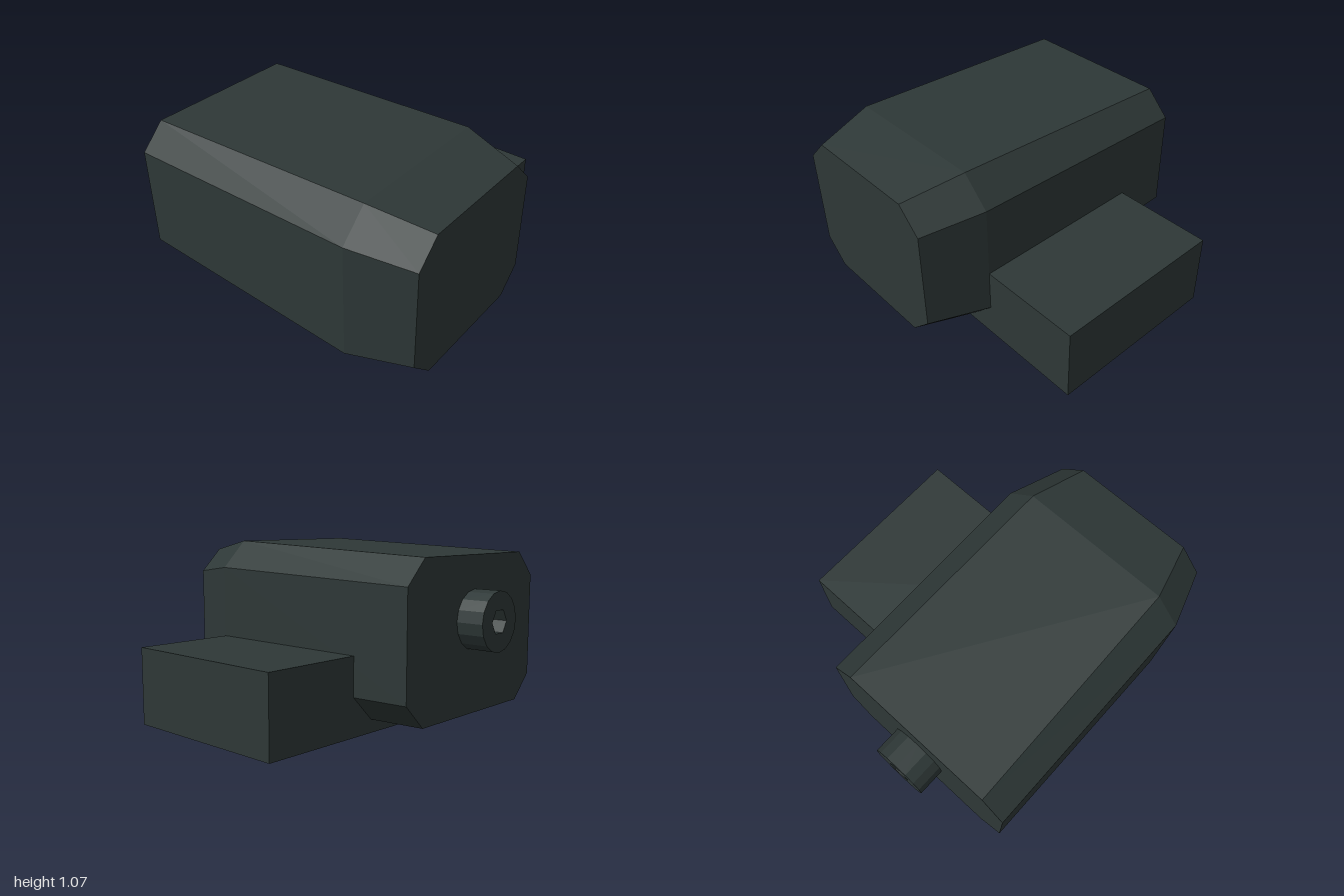
import * as THREE from 'three';

// Chamfered rectangle with eight corners, counter-clockwise seen from +z
function section(z, x0, x1, y0, y1, cx, cy) {
  return [
    [x0 + cx, y0, z], [x1 - cx, y0, z], [x1, y0 + cy, z], [x1, y1 - cy, z],
    [x1 - cx, y1, z], [x0 + cx, y1, z], [x0, y1 - cy, z], [x0, y0 + cy, z],
  ];
}

// Closed, flat-faced skin through sections ordered from back to front
function loft(sections) {
  const pos = [];
  const tri = (a, b, c) => pos.push(...a, ...b, ...c);
  const n = sections[0].length;
  for (let s = 0; s < sections.length - 1; s++) {
    const a = sections[s], b = sections[s + 1];
    for (let i = 0; i < n; i++) {
      const j = (i + 1) % n;
      tri(a[i], a[j], b[j]);
      tri(a[i], b[j], b[i]);
    }
  }
  const back = sections[0], front = sections[sections.length - 1];
  for (let i = 1; i < n - 1; i++) {
    tri(front[0], front[i], front[i + 1]);
    tri(back[0], back[i + 1], back[i]);
  }
  const geometry = new THREE.BufferGeometry();
  geometry.setAttribute('position', new THREE.Float32BufferAttribute(pos, 3));
  geometry.computeVertexNormals();
  return geometry;
}

function polygon(radius, sides) {
  return Array.from({ length: sides }, (_, i) => {
    const a = (i / sides) * Math.PI * 2;
    return new THREE.Vector2(Math.cos(a) * radius, Math.sin(a) * radius);
  });
}

export function createModel() {
  const group = new THREE.Group();
  const darkMetal = new THREE.MeshStandardMaterial({ color: 0x2e3837 });
  darkMetal.name = 'dark metal';
  const add = (name, geometry, x = 0, y = 0, z = 0) => {
    const mesh = new THREE.Mesh(geometry, darkMetal);
    mesh.name = name;
    mesh.position.set(x, y, z);
    group.add(mesh);
  };

  // Chamfered housing, tapering to its front face
  add('housing', loft([
    section(-0.835, -0.945, 0.31, 0.093, 1.015, 0.147, 0.147),
    section(0.635, -0.945, 0.31, 0.037, 1.072, 0.165, 0.166),
    section(1, -0.833, 0.2, 0.103, 1.006, 0.143, 0.142),
  ]));

  // Block that reaches under and out of the side of the housing
  add('sideBlock', new THREE.BoxGeometry(1.325, 0.466, 1.103), 0.2825, 0.233, 0.0835);

  // Rear collar with a six-sided socket
  const ring = new THREE.Shape(polygon(0.176, 16));
  ring.holes.push(new THREE.Path(polygon(0.075, 6).reverse()));
  add('rearCollar', new THREE.ExtrudeGeometry(ring, { depth: 0.17, bevelEnabled: false }),
    -0.317, 0.643, -1);

  return group;
}
